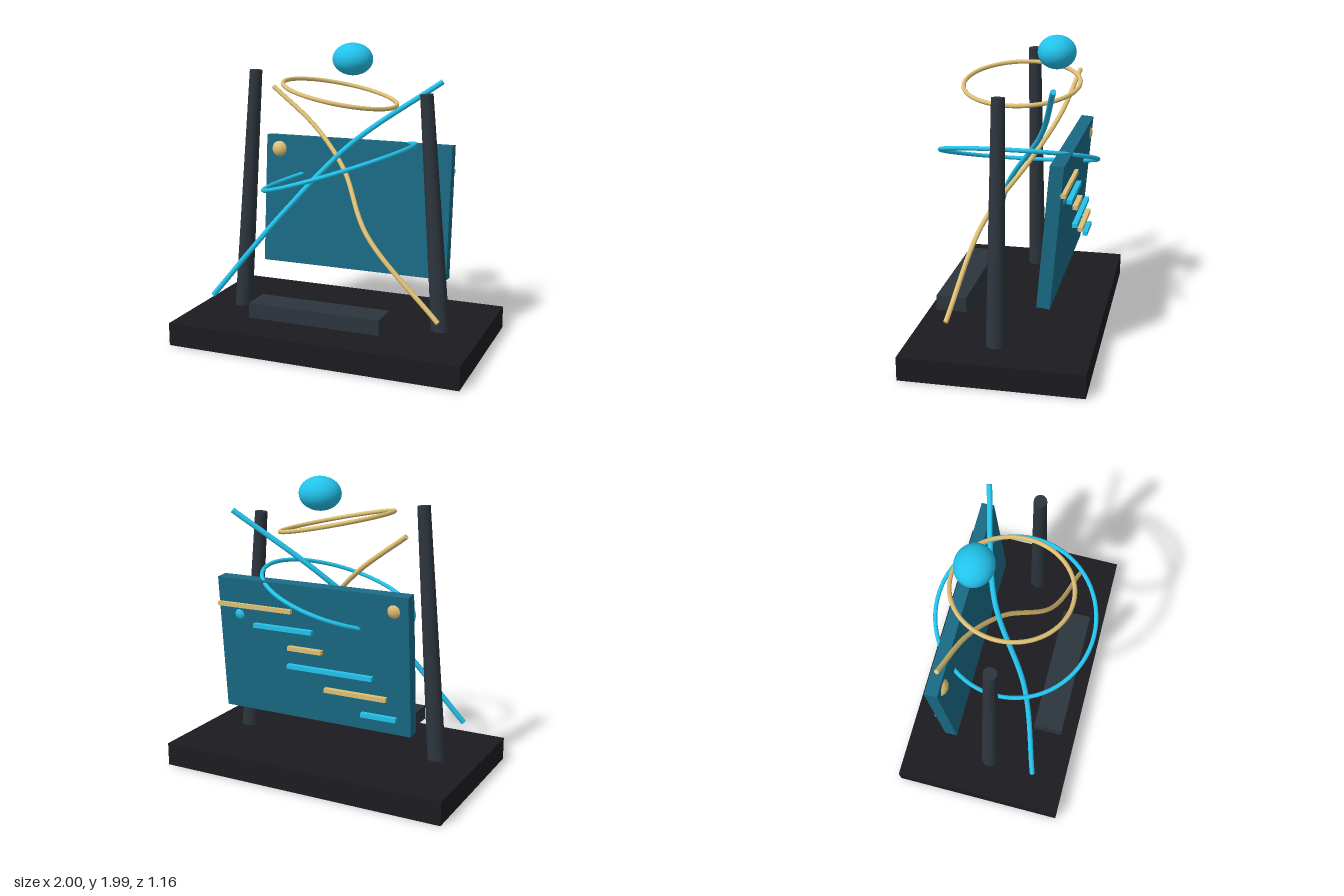
import * as THREE from 'three';

const V = (x, y, z) => new THREE.Vector3(x, y, z);
const mat = (color) => new THREE.MeshStandardMaterial({ color });

export function createModel() {
  const model = new THREE.Group();
  const black = mat(0x1c1b20), slate = mat(0x2d353d), teal = mat(0x196a84);
  const cyan = mat(0x22c3ec), gold = mat(0xdfc074);

  const add = (name, geometry, material, x = 0, y = 0, z = 0, parent = model) => {
    const mesh = new THREE.Mesh(geometry, material);
    mesh.name = name;
    mesh.position.set(x, y, z);
    parent.add(mesh);
    return mesh;
  };
  const box = (w, h, d) => new THREE.BoxGeometry(w, h, d);

  // Base slab and front step
  add('base', box(2, 0.155, 1.165), black, 0, 0.0775, 0);
  add('step', box(0.9, 0.1, 0.2), slate, 0, 0.285, 0.38);

  // Tapered pillars leaning inward
  const pillar = (name, bottom, top) => {
    const axis = top.clone().sub(bottom);
    const mid = bottom.clone().add(top).multiplyScalar(0.5);
    const mesh = add(name, new THREE.CylinderGeometry(0.042, 0.061, axis.length(), 24), slate, mid.x, mid.y, mid.z);
    mesh.quaternion.setFromUnitVectors(V(0, 1, 0), axis.normalize());
  };
  pillar('rightPillar', V(-0.726, 0.13, 0.025), V(-0.595, 1.81, 0.025));
  pillar('leftPillar', V(0.72, 0.13, 0.025), V(0.595, 1.697, 0.025));

  // Back panel, tipped backward
  add('backPanel', box(1.36, 0.91, 0.085), teal, 0, 0.865, -0.305).rotation.x = -0.085;

  // Knobs set through the panel
  add('goldKnob', new THREE.SphereGeometry(0.066, 24, 16), gold, -0.582, 1.222, -0.328);
  add('cyanKnob', new THREE.SphereGeometry(0.055, 24, 16), cyan, 0.53, 1.075, -0.323);

  // Rows of bars behind the panel: [x start, x end]
  const bars = new THREE.Group();
  bars.name = 'rearBars';
  model.add(bars);
  [[0.13, 0.68], [-0.02, 0.41], [-0.09, 0.155], [-0.445, 0.16], [-0.54, -0.11], [-0.61, -0.37]].forEach(([a, b], i) => {
    add('rearBar', box(b - a, 0.028, 0.034), i % 2 ? cyan : gold, (a + b) / 2, 1.137 - i * 0.121, -0.38, bars);
  });

  // Floating ellipsoid
  add('topBall', new THREE.SphereGeometry(1, 32, 24), cyan, 0, 1.88, -0.228).scale.set(0.138, 0.108, 0.124);

  // Tilted rings
  const ring = (name, radius, tilt, material, y, z) => {
    const geometry = new THREE.TorusGeometry(radius, 0.014, 12, 72).rotateX(Math.PI / 2).rotateZ(tilt);
    add(name, geometry, material, 0, y, z);
  };
  ring('upperRing', 0.378, -0.2, gold, 1.675, 0);
  ring('lowerRing', 0.523, 0.318, cyan, 1.192, 0.02);

  // Crossing curved rods with flat end caps
  const rod = (name, radius, material, points) => {
    const group = new THREE.Group();
    group.name = name;
    model.add(group);
    const curve = new THREE.CatmullRomCurve3(points);
    add('rodBody', new THREE.TubeGeometry(curve, 64, radius, 12), material, 0, 0, 0, group);
    for (const t of [0, 1]) {
      const p = curve.getPoint(t);
      const cap = add('rodEnd', new THREE.CircleGeometry(radius, 12), material, p.x, p.y, p.z, group);
      cap.quaternion.setFromUnitVectors(V(0, 0, 1), curve.getTangent(t).multiplyScalar(t ? 1 : -1));
    }
  };
  rod('cyanRod', 0.018, cyan,
    [V(-0.785, 0.31, 0.35), V(-0.35, 0.87, 0.175), V(0.03, 1.325, -0.125), V(0.605, 1.745, -0.305)]);
  rod('goldRod', 0.016, gold,
    [V(-0.62, 1.665, -0.295), V(-0.27, 1.415, -0.212), V(0, 1.165, -0.06), V(0.27, 0.79, 0.205), V(0.785, 0.31, 0.325)]);

  return model;
}
